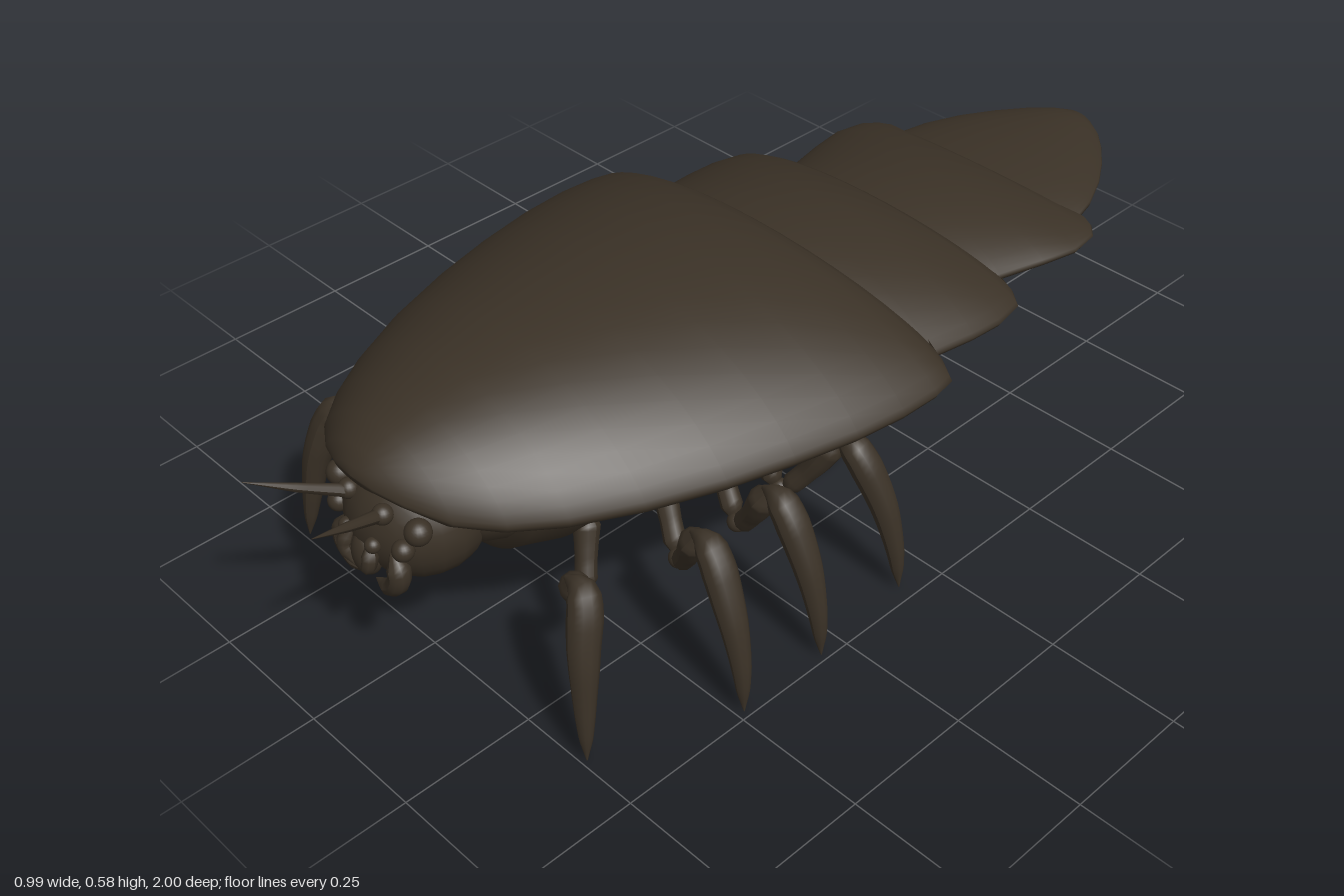
import * as THREE from 'three';

const shellBrown = new THREE.MeshStandardMaterial({ color: 0x3a3126 });

function add(parent, name, geometry) {
  const mesh = new THREE.Mesh(geometry, shellBrown);
  mesh.name = name;
  parent.add(mesh);
  return mesh;
}

// Loft of closed cross-sections, front to back.
// Station: [z, half width, top y, rim y, bottom y, forward bow at the middle]
function plate(stations, topPower = 1.5, bottomPower = 1) {
  const N = 40, pos = [], idx = [];
  stations.forEach(([z, w, top, rim, bottom, bow = 0], i) => {
    for (let j = 0; j < N; j++) {
      const a = (j / N) * Math.PI * 2, c = Math.cos(a), s = Math.sin(a);
      const y = s >= 0
        ? rim + (top - rim) * Math.pow(s, topPower)
        : rim + (bottom - rim) * Math.pow(-s, bottomPower);
      pos.push(w * c, y, z + bow * (1 - c * c));
      if (i < stations.length - 1) {
        const k = i * N + j, k1 = i * N + (j + 1) % N;
        idx.push(k, k + N, k1, k1, k + N, k1 + N);
      }
    }
  });
  const g = new THREE.BufferGeometry();
  g.setAttribute('position', new THREE.Float32BufferAttribute(pos, 3));
  g.setIndex(idx);
  g.computeVertexNormals();
  return g;
}

// Tube along a smooth path, with the radius interpolated through a list
function limb(points, radii, steps = 20, sides = 10) {
  const curve = new THREE.CatmullRomCurve3(points.map(p => new THREE.Vector3(...p)));
  const g = new THREE.TubeGeometry(curve, steps, 1, sides);
  const p = g.attributes.position, v = new THREE.Vector3();
  for (let i = 0; i <= steps; i++) {
    const t = i / steps, c = curve.getPointAt(t);
    const f = t * (radii.length - 1), k = Math.min(Math.floor(f), radii.length - 2);
    const r = THREE.MathUtils.lerp(radii[k], radii[k + 1], f - k);
    for (let j = 0; j <= sides; j++) {
      const n = i * (sides + 1) + j;
      v.fromBufferAttribute(p, n).sub(c).multiplyScalar(r).add(c);
      p.setXYZ(n, v.x, v.y, v.z);
    }
  }
  g.computeVertexNormals();
  return g;
}

function ball(parent, name, r, x, y, z, sx = 1, sy = 1, sz = 1) {
  const m = add(parent, name, new THREE.SphereGeometry(r, 20, 14));
  m.position.set(x, y, z);
  m.scale.set(sx, sy, sz);
  return m;
}

export function createModel() {
  const model = new THREE.Group();
  model.name = 'armouredCrawler';

  // Overlapping back plates
  add(model, 'frontShell', plate([
    [0.865, 0.002, 0.44, 0.44, 0.44], [0.86, 0.05, 0.458, 0.437, 0.425],
    [0.84, 0.105, 0.48, 0.425, 0.41], [0.8, 0.17, 0.504, 0.405, 0.375],
    [0.74, 0.228, 0.525, 0.395, 0.35], [0.66, 0.282, 0.545, 0.39, 0.335],
    [0.55, 0.337, 0.562, 0.388, 0.325], [0.42, 0.386, 0.571, 0.386, 0.32],
    [0.3, 0.42, 0.575, 0.385, 0.318], [0.18, 0.447, 0.572, 0.383, 0.316],
    [0.08, 0.46, 0.562, 0.382, 0.315, 0.01], [0, 0.462, 0.545, 0.382, 0.32, 0.025],
    [-0.045, 0.455, 0.53, 0.384, 0.33, 0.04], [-0.07, 0.415, 0.518, 0.388, 0.38, 0.05],
    [-0.085, 0.37, 0.495, 0.393, 0.48, 0.055]]));
  add(model, 'secondShell', plate([
    [0.1, 0.3, 0.45, 0.37, 0.35], [0, 0.345, 0.49, 0.365, 0.315],
    [-0.1, 0.365, 0.495, 0.36, 0.305], [-0.2, 0.377, 0.485, 0.355, 0.302],
    [-0.27, 0.38, 0.47, 0.353, 0.3, 0.015], [-0.335, 0.368, 0.452, 0.353, 0.31, 0.03],
    [-0.36, 0.335, 0.438, 0.356, 0.34, 0.035], [-0.372, 0.3, 0.415, 0.36, 0.405, 0.04]]));
  add(model, 'thirdShell', plate([
    [-0.2, 0.22, 0.39, 0.345, 0.32], [-0.3, 0.258, 0.42, 0.343, 0.3],
    [-0.4, 0.275, 0.426, 0.34, 0.295], [-0.5, 0.3, 0.418, 0.337, 0.292],
    [-0.58, 0.315, 0.403, 0.334, 0.292, 0.01], [-0.645, 0.305, 0.388, 0.333, 0.3, 0.025],
    [-0.67, 0.282, 0.377, 0.335, 0.32, 0.032], [-0.682, 0.255, 0.36, 0.338, 0.352, 0.035]]));
  add(model, 'tailShell', plate([
    [-0.5, 0.19, 0.35, 0.325, 0.28], [-0.6, 0.228, 0.366, 0.32, 0.262],
    [-0.68, 0.237, 0.372, 0.322, 0.263], [-0.75, 0.22, 0.373, 0.325, 0.27],
    [-0.82, 0.188, 0.371, 0.328, 0.279], [-0.88, 0.15, 0.367, 0.33, 0.288],
    [-0.93, 0.11, 0.362, 0.332, 0.298], [-0.965, 0.075, 0.356, 0.334, 0.308],
    [-0.99, 0.038, 0.348, 0.335, 0.32], [-1, 0.002, 0.335, 0.335, 0.335]]));

  // Belly segments beneath the plates
  add(model, 'frontBelly', plate([
    [0.68, 0.002, 0.3, 0.3, 0.3], [0.675, 0.13, 0.36, 0.315, 0.215],
    [0.65, 0.18, 0.4, 0.32, 0.183], [0.58, 0.22, 0.42, 0.32, 0.172],
    [0.4, 0.24, 0.43, 0.32, 0.17], [0.15, 0.25, 0.43, 0.32, 0.175],
    [-0.1, 0.26, 0.42, 0.32, 0.185], [-0.22, 0.25, 0.4, 0.32, 0.195],
    [-0.25, 0.21, 0.37, 0.315, 0.21], [-0.26, 0.002, 0.31, 0.31, 0.31]], 1.5, 1.5));
  add(model, 'rearBelly', plate([
    [-0.15, 0.1, 0.35, 0.31, 0.25], [-0.22, 0.2, 0.37, 0.31, 0.218],
    [-0.4, 0.23, 0.38, 0.31, 0.217], [-0.55, 0.21, 0.36, 0.31, 0.225],
    [-0.59, 0.17, 0.34, 0.305, 0.24], [-0.605, 0.002, 0.3, 0.3, 0.3]], 1.5, 1.4));

  // Head
  const head = new THREE.Group();
  head.name = 'head';
  model.add(head);
  ball(head, 'skull', 1, 0, 0.315, 0.75, 0.126, 0.117, 0.118);
  ball(head, 'neck', 1, 0, 0.33, 0.63, 0.16, 0.11, 0.14);
  ball(head, 'mouth', 0.03, 0, 0.275, 0.855, 1, 1.4, 0.8);

  // Leg layout: root z, low joint z, knee x, knee z, tip x, tip z
  const legs = [
    [0.54, 0.59, 0.31, 0.68, 0.385, 0.74],
    [0.38, 0.42, 0.37, 0.465, 0.487, 0.485],
    [0.26, 0.285, 0.375, 0.305, 0.487, 0.3],
    [0.18, 0.17, 0.36, 0.115, 0.468, 0.08]];

  for (const s of [1, -1]) {
    const side = s > 0 ? 'left' : 'right';

    // Eyes, feelers and jaws
    ball(head, side + 'UpperEye', 0.023, s * 0.104, 0.362, 0.822);
    ball(head, side + 'LowerEye', 0.019, s * 0.086, 0.325, 0.842);
    ball(head, side + 'SmallEye', 0.014, s * 0.035, 0.318, 0.864);
    ball(head, side + 'FeelerBase', 0.018, s * 0.045, 0.377, 0.845);
    add(head, side + 'Feeler', limb(
      [[s * 0.043, 0.376, 0.85], [s * 0.065, 0.41, 0.92], [s * 0.092, 0.452, 1]],
      [0.012, 0.008, 0.0005], 10, 8));
    add(head, side + 'Jaw', limb(
      [[s * 0.06, 0.312, 0.845], [s * 0.075, 0.265, 0.848], [s * 0.05, 0.23, 0.85],
        [s * 0.008, 0.222, 0.85]], [0.004, 0.02, 0.019, 0.015, 0.001]));
    add(head, side + 'Palp', limb(
      [[s * 0.022, 0.32, 0.86], [s * 0.034, 0.285, 0.874], [s * 0.01, 0.25, 0.872]],
      [0.003, 0.014, 0.012, 0.001], 12, 8));

    // Legs: thigh going down, shin rising to the knee, curved claw
    legs.forEach(([rz, lz, kx, kz, tx, tz], i) => {
      const leg = new THREE.Group();
      leg.name = side + 'Leg' + (i + 1);
      model.add(leg);
      const lx = 0.22 + (kx - 0.31) * 0.75;
      add(leg, 'thigh', limb(
        [[s * 0.175, 0.29, rz], [s * (0.175 + lx) / 2, 0.22, (rz + lz) / 2], [s * lx, 0.15, lz]],
        [0.003, 0.024, 0.021, 0.019, 0.02, 0.002]));
      ball(leg, 'lowJoint', 0.019, s * lx, 0.156, lz);
      add(leg, 'shin', limb(
        [[s * lx, 0.145, lz], [s * (lx + kx - 0.01) / 2, 0.21, (lz + kz) / 2], [s * (kx - 0.01), 0.298, kz]],
        [0.002, 0.02, 0.02, 0.024, 0.026, 0.003]));
      add(leg, 'claw', limb(
        [[s * (kx - 0.025), 0.295, kz], [s * (kx + 0.015), 0.29, kz],
          [s * (kx + (tx - kx) * 0.62), 0.2, kz + (tz - kz) * 0.5],
          [s * (tx - 0.012), 0.1, kz + (tz - kz) * 0.8], [s * tx, 0, tz]],
        [0.004, 0.028, 0.03, 0.028, 0.025, 0.021, 0.017, 0.012, 0.001], 28, 12));
    });
  }
  return model;
}
